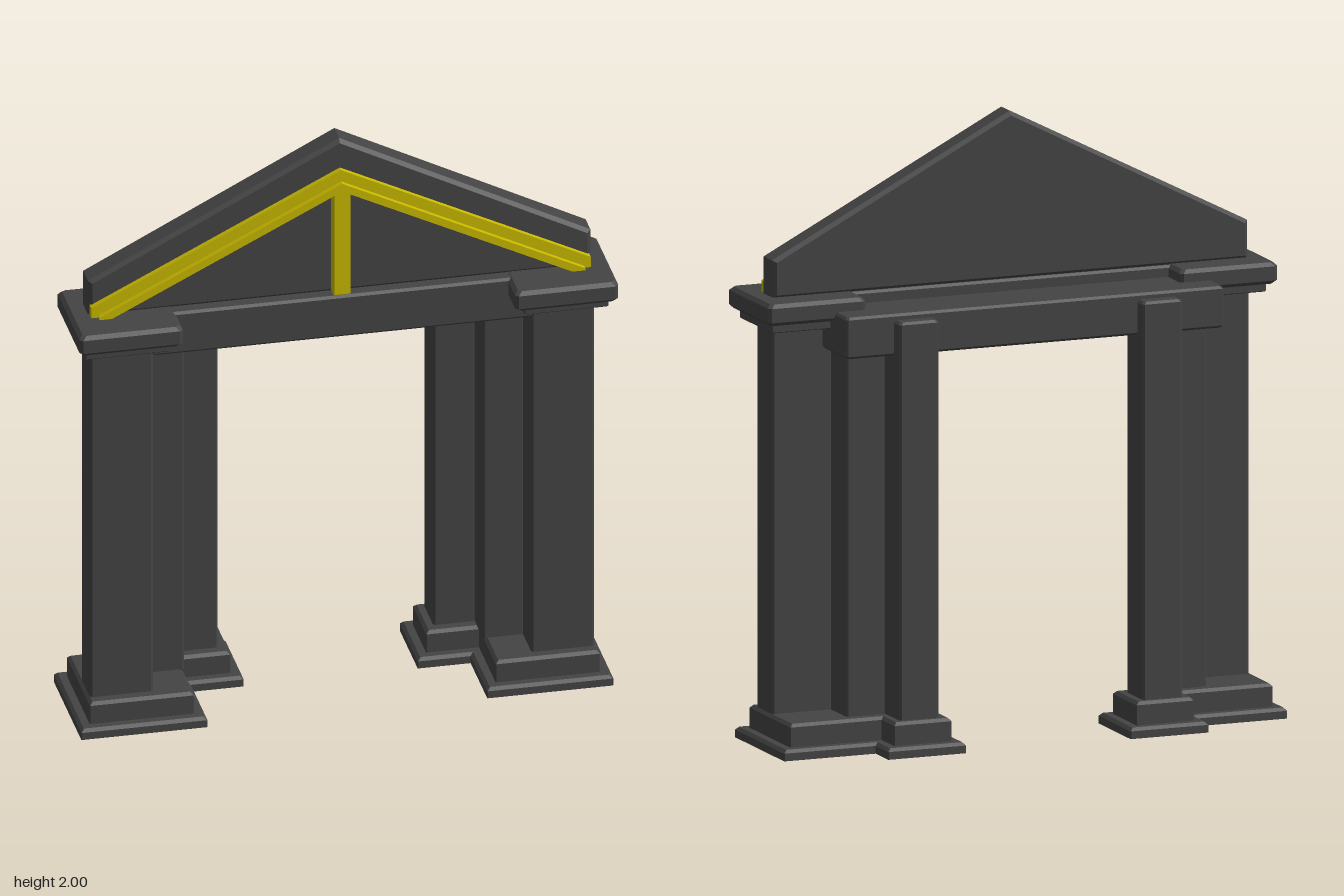
import * as THREE from 'three';

const stone = new THREE.MeshStandardMaterial({ color: 0x444444, flatShading: true, side: THREE.DoubleSide });
const yellow = new THREE.MeshStandardMaterial({ color: 0xc8b800, flatShading: true, side: THREE.DoubleSide });

// Stack of rectangular sections [halfX, halfZ, y] with chamfered corners
function stack(levels, chamfer, closedBottom = true) {
  const rings = levels.map(([w, d, y]) => {
    const c = chamfer;
    return [[w, -d + c], [w, d - c], [w - c, d], [-w + c, d], [-w, d - c], [-w, -d + c], [-w + c, -d], [w - c, -d]]
      .map(([x, z]) => [x, y, z]);
  });
  const pos = [];
  const tri = (...p) => p.forEach((v) => pos.push(...v));
  for (let i = 0; i < 8; i++) {
    const j = (i + 1) % 8;
    for (let k = 0; k < rings.length - 1; k++) {
      const a = rings[k], b = rings[k + 1];
      tri(a[i], b[i], b[j]);
      tri(a[i], b[j], a[j]);
    }
    const top = rings[rings.length - 1], bottom = rings[0];
    tri([0, top[0][1], 0], top[j], top[i]);
    if (closedBottom) tri([0, bottom[0][1], 0], bottom[i], bottom[j]);
  }
  const g = new THREE.BufferGeometry();
  g.setAttribute('position', new THREE.Float32BufferAttribute(pos, 3));
  g.computeVertexNormals();
  return g;
}

// Block given by its extents, with softened edges
function block(x0, x1, y0, y1, z0, z1, bevel = 0.008) {
  const w = (x1 - x0) / 2, d = (z1 - z0) / 2, b = bevel;
  const g = stack([[w - b, d - b, y0], [w, d, y0 + b], [w, d, y1 - b], [w - b, d - b, y1]], b * 0.9);
  return g.translate((x0 + x1) / 2, 0, (z0 + z1) / 2);
}

// Hollow stepped plinth, open underneath
function plinth(cx, cz, half) {
  const up = half - 0.035;
  return stack([
    [half, half, 0], [half, half, 0.025], [half - 0.01, half - 0.01, 0.035], [up, up, 0.035],
    [up, up, 0.1], [up - 0.01, up - 0.01, 0.11],
  ], 0.002, false).translate(cx, 0, cz);
}

// Outline in x and y, extruded from z0 to z1
function slab(points, z0, z1, bevel) {
  const shape = new THREE.Shape(points.map(([x, y]) => new THREE.Vector2(x, y)));
  return new THREE.ExtrudeGeometry(shape, {
    depth: z1 - z0 - 2 * bevel, bevelEnabled: bevel > 0, bevelThickness: bevel,
    bevelSize: bevel, bevelOffset: -bevel, bevelSegments: 1,
  }).translate(0, 0, z0 + bevel);
}

// Chevron strip; outer and inner are apex heights
function chevron(outer, inner, halfWidth, slope, floor, z0, z1) {
  const edge = outer - slope * halfWidth;
  const foot = (inner - floor) / slope;
  return slab([
    [-halfWidth, floor], [-foot, floor], [0, inner], [foot, floor],
    [halfWidth, floor], [halfWidth, edge], [0, outer], [-halfWidth, edge],
  ], z0, z1, 0);
}

export function createModel() {
  const group = new THREE.Group();
  const add = (parent, name, geometry, material = stone) => {
    const mesh = new THREE.Mesh(geometry, material);
    mesh.name = name;
    parent.add(mesh);
  };

  // Legs: three stepped pillars on two plinths, mirrored in x
  for (const side of [1, -1]) {
    const leg = new THREE.Group();
    leg.name = side > 0 ? 'leftLeg' : 'rightLeg';
    const span = (x0, x1, ...rest) => (side > 0 ? block(x0, x1, ...rest) : block(-x1, -x0, ...rest));
    add(leg, 'frontPlinth', plinth(side * 0.66, 0.035, 0.205));
    add(leg, 'backPlinth', plinth(side * 0.417, -0.14, 0.134));
    add(leg, 'frontPillar', span(0.615, 0.82, 0.1, 1.37, 0.035, 0.166));
    add(leg, 'middlePillar', span(0.485, 0.62, 0.1, 1.31, -0.095, 0.04));
    add(leg, 'backPillar', span(0.35, 0.487, 0.1, 1.4, -0.215, -0.08));
    add(leg, 'capitalNeck', span(0.577, 0.85, 1.36, 1.4, -0.033, 0.237, 0.003));
    add(leg, 'capital', span(0.54, 0.876, 1.39, 1.46, -0.07, 0.272, 0.012));
    group.add(leg);
  }

  // Beams across the legs
  add(group, 'frontBeam', block(-0.62, 0.62, 1.31, 1.458, 0.03, 0.165));
  add(group, 'backBeam', block(-0.65, 0.65, 1.285, 1.42, -0.168, 0.04));

  // Gable and its trim
  add(group, 'gable', slab([[-0.817, 1.455], [0.817, 1.455], [0.817, 1.58], [0, 2], [-0.817, 1.58]], 0.035, 0.128, 0.012));
  add(group, 'outerGableTrim', chevron(1.9, 1.845, 0.812, 0.497, 1.46, 0.12, 0.147), yellow);
  add(group, 'innerGableTrim', chevron(1.86, 1.832, 0.79, 0.497, 1.46, 0.12, 0.165), yellow);
  add(group, 'gablePost', block(-0.028, 0.028, 1.46, 1.838, 0.12, 0.164, 0.003), yellow);
  return group;
}
